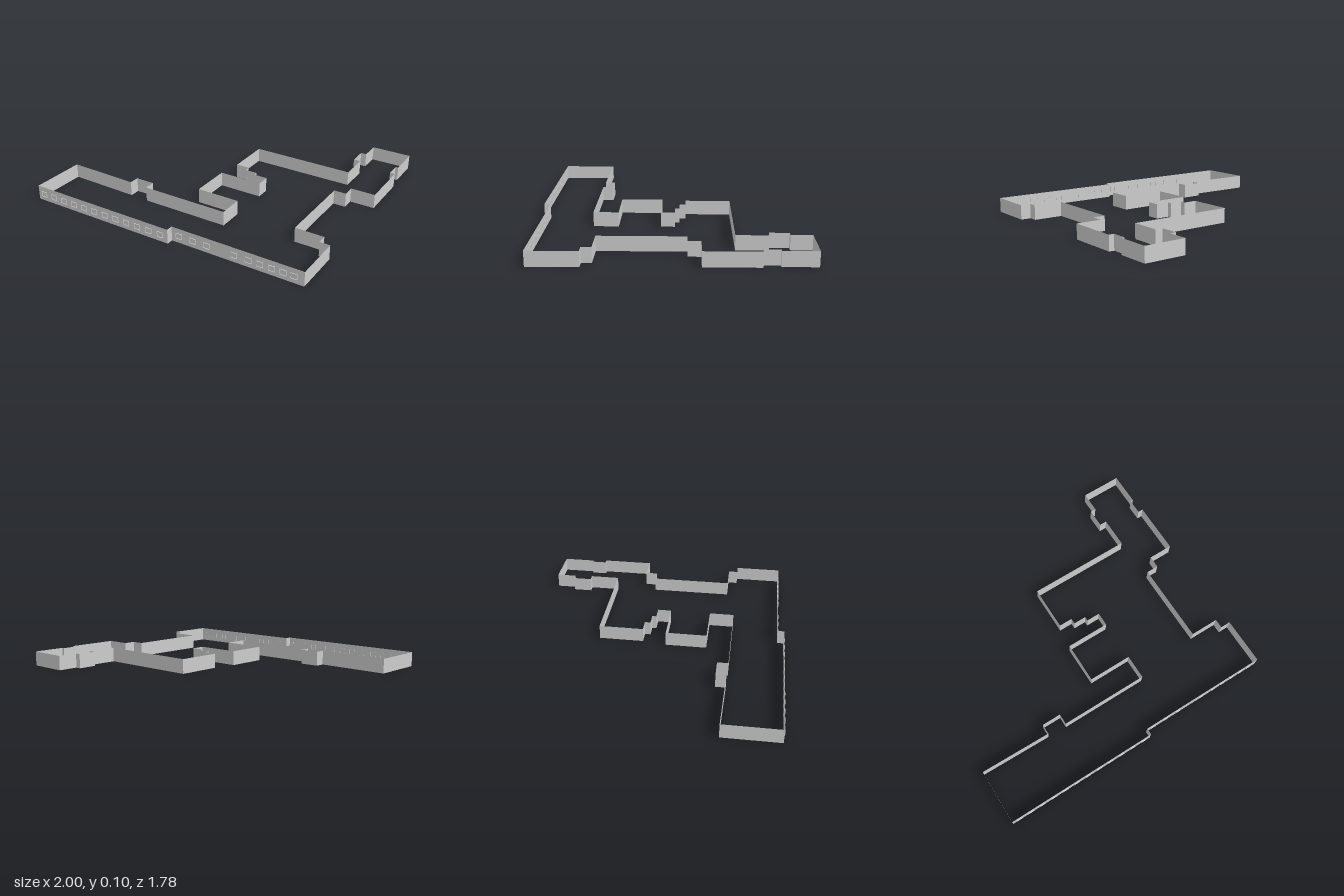
import * as THREE from 'three';

const HEIGHT = 0.1;
const FRONT_Z = 0.885, FRONT_STEP_Z = 0.84;

// Wall outline in plan, as [x, z] corners
const OUTLINE = [
  // stepped front
  [-1, FRONT_Z], [0.08, FRONT_Z], [0.08, FRONT_STEP_Z], [1, FRONT_STEP_Z],
  // left side, front to back
  [1, 0.515], [0.93, 0.515], [0.93, 0.45], [0.73, 0.45], [0.73, -0.115],
  [0.815, -0.115], [0.815, -0.2], [0.985, -0.2], [0.985, -0.56],
  [0.95, -0.56], [0.95, -0.665], [0.97, -0.665], [0.97, -0.89],
  // back wing with its small bay
  [0.69, -0.89], [0.69, -0.75], [0.65, -0.75], [0.65, -0.62], [0.7, -0.62],
  [0.7, -0.41], [-0.025, -0.41],
  // stepped inner court
  [-0.025, -0.1], [0.07, -0.1], [0.07, -0.06], [0.16, -0.06], [0.16, -0.03],
  [0.255, -0.03], [0.255, 0.065], [-0.05, 0.065], [-0.05, 0.35], [0.255, 0.35],
  // rear of the front wing with a bay
  [0.255, 0.52], [-0.365, 0.52], [-0.365, 0.445], [-0.5, 0.445], [-0.5, 0.515], [-1, 0.505],
];

const material = new THREE.MeshStandardMaterial({
  color: 0xcccccc, flatShading: true, side: THREE.DoubleSide,
});

// One thin upright panel between two plan corners
function wall([x0, z0], [x1, z1]) {
  const length = Math.hypot(x1 - x0, z1 - z0);
  const mesh = new THREE.Mesh(new THREE.PlaneGeometry(length, HEIGHT), material);
  mesh.position.set((x0 + x1) / 2, HEIGHT / 2, (z0 + z1) / 2);
  mesh.rotation.y = -Math.atan2(z1 - z0, x1 - x0);
  mesh.name = 'wallPanel';
  return mesh;
}

// Open four-sided window frame: a box without its front and back
function frameGeometry() {
  const geometry = new THREE.BoxGeometry(0.043, 0.036, 0.007);
  geometry.setIndex(Array.from(geometry.index.array).slice(0, 24));
  geometry.clearGroups();
  return geometry;
}

export function createModel() {
  const model = new THREE.Group();
  model.name = 'buildingOutline';

  const walls = new THREE.Group();
  walls.name = 'walls';
  OUTLINE.forEach((corner, i) => walls.add(wall(corner, OUTLINE[(i + 1) % OUTLINE.length])));
  model.add(walls);

  // Window frames along both parts of the front
  const windows = new THREE.Group();
  windows.name = 'windows';
  const geometry = frameGeometry();
  const addWindow = (x, z) => {
    const frame = new THREE.Mesh(geometry, material);
    frame.name = 'windowFrame';
    frame.position.set(x, 0.048, z + 0.0015);
    windows.add(frame);
  };
  for (let i = 0; i < 12; i++) addWindow(-0.95 + i * 0.0885, FRONT_Z);
  for (const x of [0.135, 0.237, 0.338, 0.532, 0.632, 0.71, 0.788, 0.863, 0.933]) {
    addWindow(x, FRONT_STEP_Z);
  }
  model.add(windows);

  return model;
}
